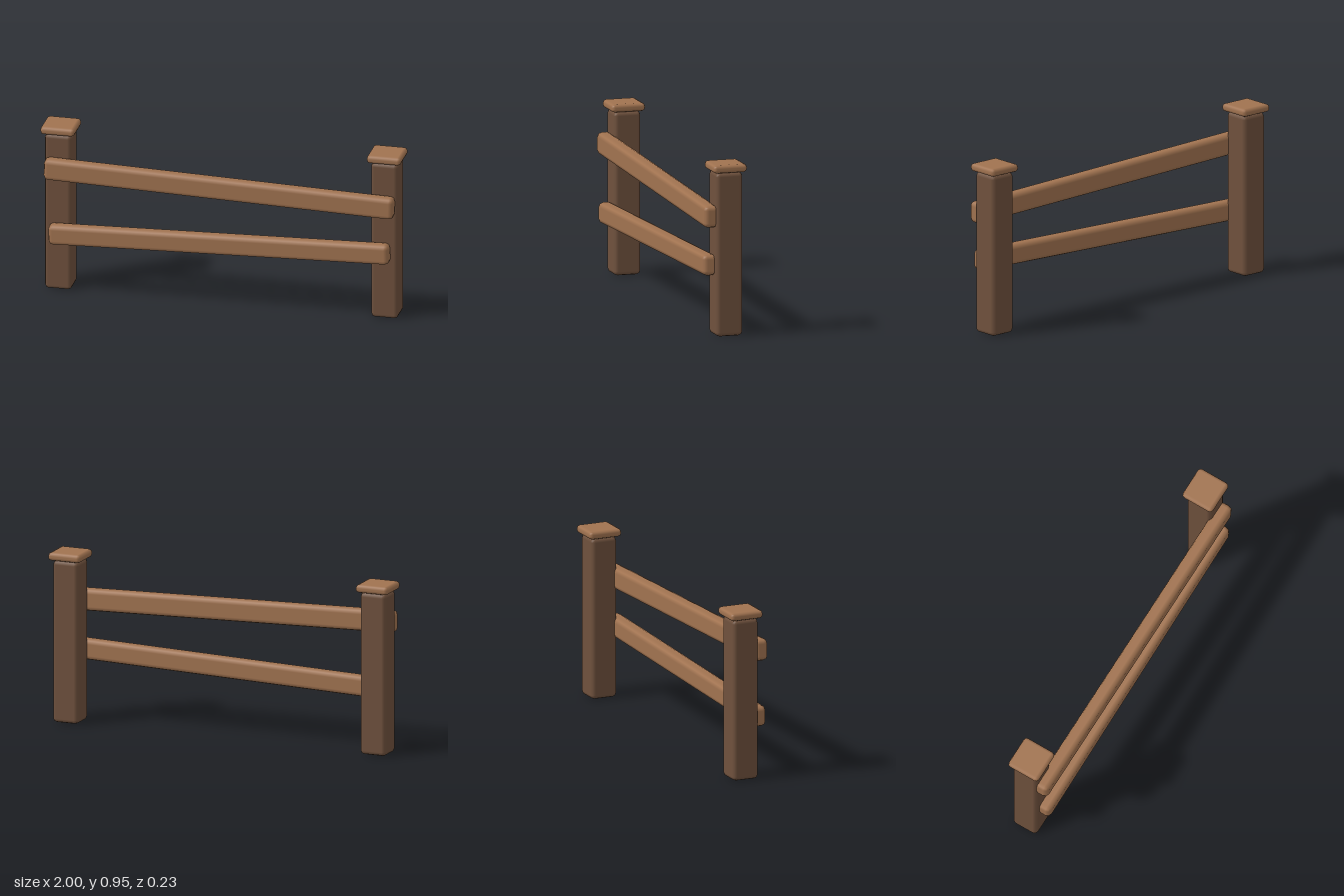
import * as THREE from 'three';
import { RoundedBoxGeometry } from 'three/addons/geometries/RoundedBoxGeometry.js';

export function createModel() {
  const fence = new THREE.Group();
  fence.name = 'fence';

  const lightWood = new THREE.MeshStandardMaterial({ color: 0xa17350 });
  lightWood.name = 'light wood';
  const darkWood = new THREE.MeshStandardMaterial({ color: 0x6f513d });
  darkWood.name = 'dark wood';

  // Softly bevelled plank, centred on the given position
  function plank(name, size, radius, position, material) {
    const mesh = new THREE.Mesh(new RoundedBoxGeometry(...size, 1, radius), material);
    mesh.name = name;
    mesh.position.set(...position);
    fence.add(mesh);
    return mesh;
  }

  // Two square posts, each with an overhanging cap
  for (const [side, s] of [['left', 1], ['right', -1]]) {
    plank(side + 'Post', [0.15, 0.9, 0.15], 0.022, [s * 0.905, 0.452, -0.021], darkWood);
    plank(side + 'Cap', [0.19, 0.045, 0.19], 0.019, [s * 0.905, 0.9255, -0.021], lightWood);
  }

  // Two crooked rails across the front of the posts
  const upper = plank('upperRail', [1.94, 0.122, 0.08], 0.026, [-0.003, 0.688, 0.077], lightWood);
  upper.rotation.z = -0.029;
  const lower = plank('lowerRail', [1.89, 0.115, 0.08], 0.026, [-0.003, 0.364, 0.077], lightWood);
  lower.rotation.z = 0.029;

  return fence;
}
